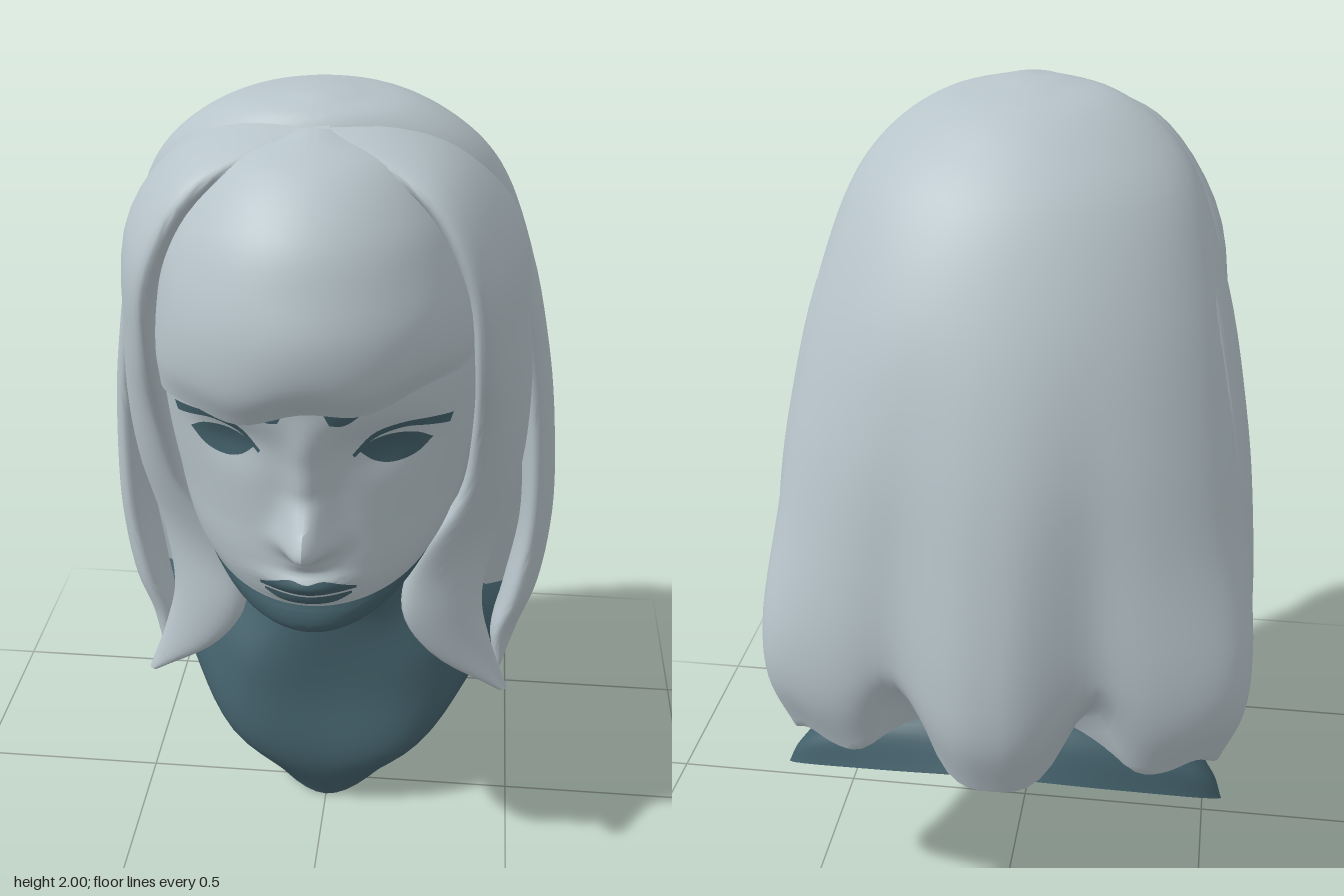
import * as THREE from 'three';
import { toCreasedNormals } from 'three/addons/utils/BufferGeometryUtils.js';

const V = (x, y, z) => new THREE.Vector3(x, y, z);
const { clamp, smoothstep } = THREE.MathUtils;
const bell = (d, w) => Math.exp(-(d * d) / (w * w));

// Closed solid through rings of equal length, smoothed from ring to ring
function loft(rings, steps, tweak) {
  const n = rings[0].length, pos = [], idx = [];
  const columns = rings[0].map((_, j) => new THREE.CatmullRomCurve3(rings.map(r => r[j])));
  for (let i = 0; i <= steps; i++) {
    for (const c of columns) {
      const p = c.getPoint(i / steps);
      if (tweak) tweak(p);
      pos.push(p.x, p.y, p.z);
    }
  }
  for (let i = 0; i < steps; i++) {
    for (let j = 0; j < n; j++) {
      const k = (j + 1) % n, a = i * n + j, b = i * n + k;
      idx.push(a, a + n, b, b, a + n, b + n);
    }
  }
  for (const row of [0, steps]) {
    const mid = V(0, 0, 0);
    for (let j = 0; j < n; j++) mid.add(V(0, 0, 0).fromArray(pos, (row * n + j) * 3));
    mid.divideScalar(n);
    const m = pos.length / 3;
    pos.push(mid.x, mid.y, mid.z);
    for (let j = 0; j < n; j++) {
      const a = row * n + j, b = row * n + (j + 1) % n;
      if (row) idx.push(a, m, b); else idx.push(a, b, m);
    }
  }
  // Turn the faces outward
  let volume = 0;
  const at = i => V(0, 0, 0).fromArray(pos, i * 3);
  for (let i = 0; i < idx.length; i += 3) volume += at(idx[i]).dot(at(idx[i + 1]).cross(at(idx[i + 2])));
  if (volume < 0) idx.reverse();
  const g = new THREE.BufferGeometry();
  g.setAttribute('position', new THREE.Float32BufferAttribute(pos, 3));
  g.setIndex(idx);
  return toCreasedNormals(g, 0.9);
}

// Ring from angle 0 at the front round through +x and the back
const ring = (n, f) => Array.from({ length: n }, (_, j) => f((j / n) * Math.PI * 2));

// Symmetric smooth ring from points of its +x half, front to back
function halfRing(half) {
  const mirror = half.slice(1, -1).reverse().map(([x, y, z]) => [-x, y, z]);
  const curve = new THREE.CatmullRomCurve3([...half, ...mirror].map(p => V(...p)), true);
  return ring(60, a => curve.getPoint(a / (Math.PI * 2)));
}

// Head ring: front height, front z, half width, rise towards the back
const headRing = ([y, zf, w, tilt]) => ring(144, a => {
  const c = Math.cos(a), z = 0.1 + c * (c > 0 ? zf - 0.1 : 0.3);
  return V(w * Math.sin(a), y + tilt * (zf - Math.max(z, 0)), z);
});

// Nose ridge heights, as [y, depth]
const NOSE = [[1.42, 0], [1.3, 0.022], [1.21, 0.032], [1.09, 0.115], [1.025, 0.025], [0.99, 0]];
function noseDepth(y) {
  for (let i = 1; i < NOSE.length; i++) {
    const [y0, d0] = NOSE[i - 1], [y1, d1] = NOSE[i];
    if (y <= y0 && y >= y1) return d0 + (d1 - d0) * smoothstep(y0 - y, 0, y0 - y1);
  }
  return 0;
}
function sculptFace(p) {
  if (p.z < 0.15) return;
  const x = Math.abs(p.x), y = p.y;
  p.z += noseDepth(y) * bell(x, 0.042 + 0.013 * bell(y - 1.07, 0.05));
  p.z -= 0.03 * bell(x - 0.17, 0.09) * bell(y - 1.31, 0.07);
  p.z += 0.03 * bell(x, 0.09) * bell(y - 0.965, 0.025);
  p.z += 0.014 * bell(x, 0.08) * bell(y - 0.92, 0.02);
}

// Flat lock of hair: rows of front edge, back edge, thickness
function lock(rows, side) {
  return loft(rows.map(([f, b, t]) => {
    const F = V(...f), B = V(...b), mid = F.clone().add(B).multiplyScalar(0.5);
    const axis = F.clone().sub(mid), dir = axis.clone().normalize();
    const out = mid.clone().sub(V(0, Math.min(mid.y, 1.4), -0.1));
    out.addScaledVector(dir, -out.dot(dir)).normalize();
    return ring(32, a => {
      const p = mid.clone().addScaledVector(axis, Math.cos(a)).addScaledVector(out, t * Math.sin(a));
      p.x *= side;
      return p;
    });
  }), 48);
}

export function createModel() {
  const model = new THREE.Group();
  const light = new THREE.MeshStandardMaterial({ color: 0xb7c4ca });
  light.name = 'paleGrey';
  const dark = new THREE.MeshStandardMaterial({ color: 0x43606a });
  dark.name = 'darkTeal';
  const add = (name, geometry, material) => {
    const mesh = new THREE.Mesh(geometry, material);
    mesh.name = name;
    model.add(mesh);
    return mesh;
  };

  // Neck and shoulders, cut off by a sloping plane
  add('bust', loft([
    [[0, 0, 0.08], [0.17, 0.08, 0.02], [0.36, 0.25, -0.18], [0.54, 0.4, -0.43], [0.3, 0.47, -0.52], [0, 0.5, -0.55]],
    [[0, 0.15, 0.13], [0.23, 0.2, 0.1], [0.39, 0.33, -0.1], [0.51, 0.46, -0.42], [0.3, 0.56, -0.48], [0, 0.58, -0.5]],
    [[0, 0.36, 0.1], [0.22, 0.4, 0.08], [0.33, 0.48, -0.08], [0.38, 0.55, -0.32], [0.2, 0.62, -0.4], [0, 0.64, -0.42]],
    [[0, 0.6, 0.1], [0.12, 0.6, 0.07], [0.2, 0.62, -0.04], [0.2, 0.66, -0.2], [0.12, 0.7, -0.28], [0, 0.7, -0.3]],
    [[0, 0.95, 0.12], [0.12, 0.95, 0.1], [0.2, 0.95, 0], [0.2, 0.95, -0.15], [0.12, 0.95, -0.25], [0, 0.95, -0.28]],
  ].map(halfRing), 28), dark);

  // Face, with the dark underside of the jaw below it
  const jawLine = [0.885, 0.457, 0.3, 0.32];
  const face = add('face', loft([
    [1.75, 0.42, 0.27, 0], [1.6, 0.5, 0.35, 0], [1.5, 0.535, 0.375, 0], [1.4, 0.535, 0.38, 0], [1.3, 0.51, 0.375, 0.02],
    [1.2, 0.49, 0.365, 0.05], [1.1, 0.485, 0.35, 0.12], [1.0, 0.485, 0.335, 0.2], [0.93, 0.473, 0.32, 0.28], jawLine,
  ].map(headRing), 80, sculptFace), light);
  add('jaw', loft([
    jawLine, [0.86, 0.466, 0.285, 0.31], [0.82, 0.462, 0.25, 0.27], [0.79, 0.42, 0.19, 0.25], [0.78, 0.34, 0.09, 0.25],
  ].map(headRing), 16, sculptFace), dark);

  // Thin painted details laid over the face between an upper and a lower edge
  const ray = new THREE.Raycaster();
  function paint(name, upper, lower, side = 1) {
    const curve = pts => {
      const c = pts.map(([x, y]) => V(x * side, y, 0));
      return new THREE.CatmullRomCurve3(side < 0 ? c.reverse() : c);
    };
    const top = curve(upper), low = curve(lower);
    const g = new THREE.PlaneGeometry(1, 1, 20, 4), p = g.attributes.position;
    for (let i = 0; i < p.count; i++) {
      const t = p.getX(i) + 0.5, q = low.getPoint(t).lerp(top.getPoint(t), p.getY(i) + 0.5);
      ray.set(V(q.x, q.y, 2), V(0, 0, -1));
      const hit = ray.intersectObject(face)[0];
      p.setXYZ(i, q.x, q.y, (hit ? hit.point.z : 0.4) + 0.007);
    }
    g.computeVertexNormals();
    add(name, g, dark);
  }
  for (const [label, s] of [['left', 1], ['right', -1]]) {
    paint(label + 'Iris', [[0.112, 1.308], [0.145, 1.33], [0.185, 1.338], [0.235, 1.328], [0.27, 1.302]],
      [[0.112, 1.308], [0.145, 1.275], [0.185, 1.262], [0.235, 1.272], [0.27, 1.302]], s);
    paint(label + 'Eyelid', [[0.1, 1.3], [0.15, 1.354], [0.21, 1.368], [0.265, 1.36], [0.312, 1.345]],
      [[0.105, 1.292], [0.15, 1.336], [0.21, 1.352], [0.265, 1.338], [0.305, 1.322]], s);
    paint(label + 'Eyebrow', [[0.04, 1.425], [0.08, 1.44], [0.12, 1.45], [0.15, 1.45]],
      [[0.055, 1.392], [0.08, 1.388], [0.105, 1.4], [0.15, 1.445]], s);
  }
  paint('upperLip', [[-0.11, 0.957], [-0.04, 0.982], [0, 0.976], [0.04, 0.982], [0.11, 0.957]],
    [[-0.11, 0.948], [-0.04, 0.942], [0, 0.94], [0.04, 0.942], [0.11, 0.948]]);
  paint('lowerLip', [[-0.1, 0.94], [-0.04, 0.935], [0, 0.934], [0.04, 0.935], [0.1, 0.94]],
    [[-0.1, 0.932], [-0.06, 0.911], [0, 0.905], [0.06, 0.911], [0.1, 0.932]]);

  // Back hair: height, half width, z of widest point, back z, front z.
  // Two notches divide the hem, and the middle strand stands out
  add('backHair', loft([
    [1.995, 0.06, 0.14, 0.06, 0.2], [1.965, 0.2, 0.11, -0.1, 0.26], [1.9, 0.31, 0.08, -0.205, 0.29],
    [1.8, 0.395, 0.03, -0.31, 0.3], [1.58, 0.475, -0.06, -0.44, 0.25], [1.32, 0.525, -0.16, -0.54, 0.1],
    [1.08, 0.555, -0.25, -0.6, 0], [0.8, 0.588, -0.37, -0.645, -0.1], [0.65, 0.58, -0.39, -0.645, -0.15],
    [0.5, 0.53, -0.38, -0.6, -0.2],
  ].map(([y, w, zs, zb, zf]) => ring(120, a => {
    const back = Math.abs(Math.PI - a), c = Math.cos(back);
    const fold = bell(back - 0.43, 0.15), low = clamp((1.5 - y) / 0.8, 0, 1);
    const hem = clamp((0.85 - y) / 0.35, 0, 1);
    const rear = zs - zb - 0.075 * low * smoothstep(back, 0.05, 0.43);
    const z = c > 0 ? zs - Math.pow(c, 1 - 0.2 * low) * rear : zs - c * (zf - zs);
    return V(w * Math.sin(a), y + hem * (0.18 * fold + 0.03 * bell(back - 1.1, 0.2)), z + 0.015 * fold * low);
  })), 60), light);

  // Fringe over the forehead: height, half width, z of sides, front z
  add('fringe', loft([
    [1.95, 0.03, 0.26, 0.31], [1.9, 0.18, 0.26, 0.45], [1.8, 0.275, 0.25, 0.56], [1.7, 0.325, 0.25, 0.61],
    [1.6, 0.35, 0.25, 0.64], [1.5, 0.36, 0.25, 0.632], [1.43, 0.355, 0.25, 0.59],
  ].map(([y, w, zs, zf]) => ring(80, a => {
    const x = w * Math.sin(a), c = Math.cos(a);
    const hem = clamp((1.7 - y) / 0.27, 0, 1);
    return V(x, y + hem * (0.13 * x + 0.012 * Math.cos(x * 24)), zs + c * (c > 0 ? zf - zs : 0.1));
  })), 36), light);

  // Side locks, mirrored
  const frontLock = [
    [[-0.03, 1.935, 0.3], [-0.03, 1.955, 0.18], 0.015], [[0.14, 1.895, 0.36], [0.16, 1.93, 0.14], 0.03],
    [[0.26, 1.82, 0.41], [0.3, 1.85, 0.08], 0.045],
    [[0.345, 1.66, 0.42], [0.43, 1.68, 0], 0.05], [[0.37, 1.45, 0.36], [0.465, 1.45, -0.04], 0.045],
    [[0.37, 1.24, 0.25], [0.48, 1.24, -0.01], 0.045], [[0.34, 1.02, 0.17], [0.47, 1.02, -0.02], 0.045],
    [[0.22, 0.8, 0.14], [0.42, 0.8, 0], 0.05], [[0.205, 0.66, 0.14], [0.4, 0.66, 0.03], 0.05],
    [[0.28, 0.53, 0.12], [0.43, 0.53, 0.04], 0.035], [[0.46, 0.39, 0.07], [0.48, 0.39, 0.05], 0.01],
  ];
  const sideLock = [
    [[0.04, 1.93, 0.24], [0.04, 1.95, 0.1], 0.012], [[0.32, 1.81, 0.16], [0.32, 1.81, -0.05], 0.03],
    [[0.43, 1.6, 0.1], [0.43, 1.6, -0.18], 0.035], [[0.495, 1.3, 0.03], [0.5, 1.3, -0.27], 0.04],
    [[0.52, 1.05, -0.01], [0.535, 1.05, -0.31], 0.042], [[0.52, 0.8, -0.03], [0.555, 0.8, -0.31], 0.042],
    [[0.485, 0.6, -0.03], [0.53, 0.6, -0.27], 0.045], [[0.45, 0.48, -0.04], [0.5, 0.49, -0.22], 0.035],
    [[0.46, 0.38, -0.05], [0.46, 0.4, -0.09], 0.01],
  ];
  for (const [label, s] of [['left', 1], ['right', -1]]) {
    add(label + 'FrontLock', lock(frontLock, s), light);
    add(label + 'SideLock', lock(sideLock, s), light);
  }
  return model;
}
